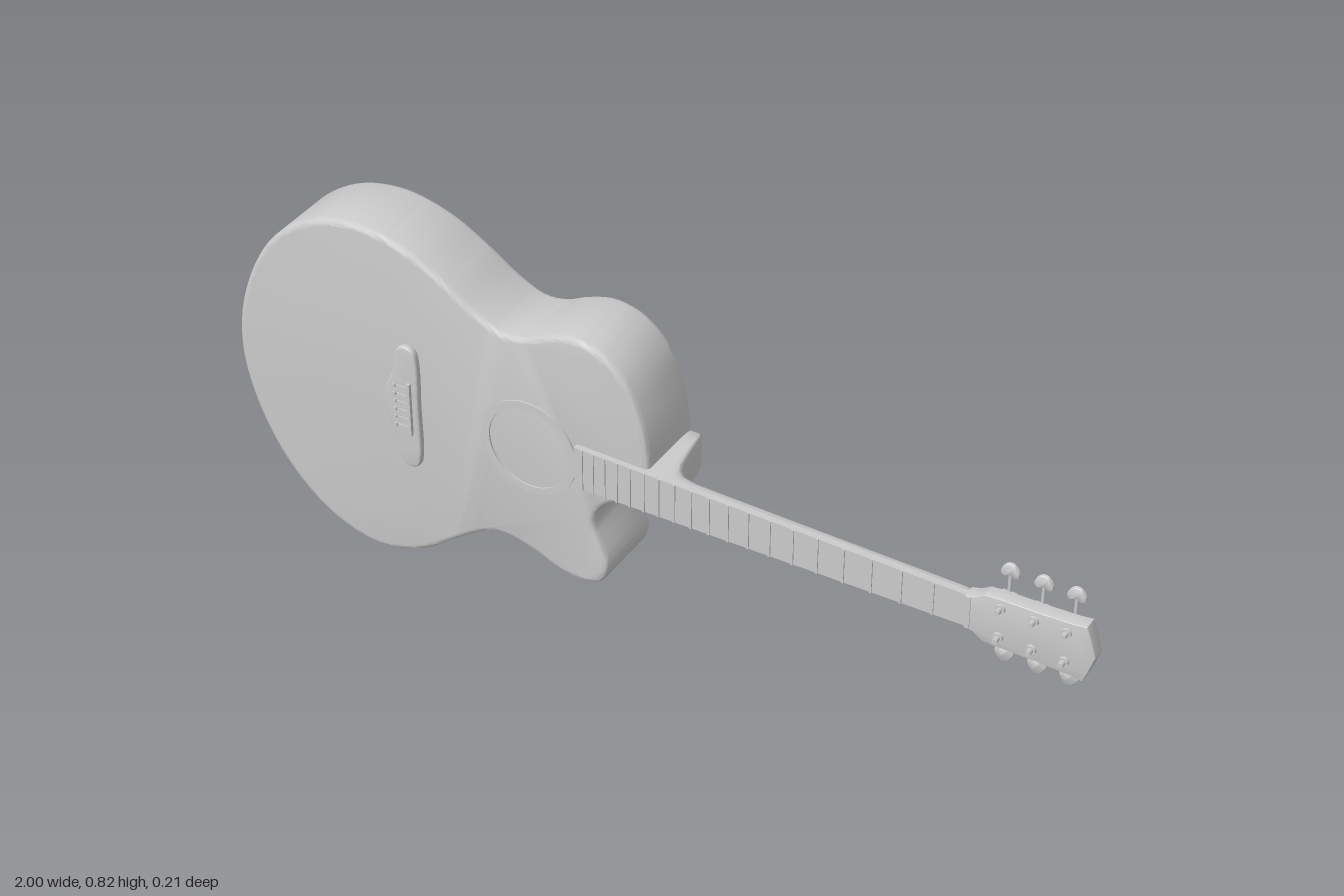
import * as THREE from 'three';
import { toCreasedNormals } from 'three/addons/utils/BufferGeometryUtils.js';

const material = new THREE.MeshStandardMaterial({ color: 0xcccccc });
const MID = 0.42; // height of the neck's centre line

function add(parent, name, geometry, x = 0, y = 0, z = 0) {
  const mesh = new THREE.Mesh(geometry, material);
  mesh.name = name;
  mesh.position.set(x, y, z);
  parent.add(mesh);
}

// Shape from a list of [x, y] corners
const polygon = points => new THREE.Shape(points.map(([x, y]) => new THREE.Vector2(x, y)));

// Shape made solid from z0 to z1, with rounded rims
function slab(shape, z0, z1, bevel = 0, crease = 0.6) {
  const geo = new THREE.ExtrudeGeometry(shape, {
    depth: z1 - z0 - 2 * bevel, curveSegments: 48,
    bevelEnabled: bevel > 0, bevelSize: bevel, bevelThickness: bevel, bevelOffset: -bevel, bevelSegments: 3,
  });
  geo.translate(0, 0, z0 + bevel);
  return toCreasedNormals(geo, crease);
}

// Shape bounded by a smooth closed curve through a few points
function smoothShape(points, count) {
  const curve = new THREE.CatmullRomCurve3(points.map(([x, y]) => new THREE.Vector3(x, y, 0)), true);
  return polygon(curve.getSpacedPoints(count).slice(0, -1).map(p => [p.x, p.y]));
}

// Half width of neck and fingerboard, tapering to the nut
const halfWidth = x => THREE.MathUtils.mapLinear(x, -0.155, 0.73, 0.05, 0.038);

// Neck and heel: sections [x, underside z, roundness] lofted along x
function neckGeometry() {
  const sections = [
    [-0.03, -0.102, 0.25], [0.034, -0.102, 0.25], [0.038, -0.095, 0.25], [0.044, -0.07, 0.3],
    [0.05, -0.035, 0.35], [0.056, 0, 0.42], [0.064, 0.022, 0.5], [0.078, 0.036, 0.6],
    [0.11, 0.041, 0.75], [0.3, 0.042, 0.8], [0.5, 0.043, 0.8], [0.7, 0.045, 0.8], [0.745, 0.056, 0.5],
  ];
  const n = 24, top = 0.076, positions = [], indices = [];
  for (const [x, low, round] of sections) {
    for (let i = 0; i <= n; i++) {
      const a = Math.PI * i / n, c = Math.cos(a), s = Math.max(0, Math.sin(a));
      positions.push(x, MID + halfWidth(x) * Math.sign(c) * Math.abs(c) ** round, top - (top - low) * s ** round);
    }
  }
  const row = n + 1, last = (sections.length - 1) * row;
  for (let k = 0; k < sections.length - 1; k++) {
    for (let i = 0; i < row; i++) {
      const a = k * row + i, b = k * row + (i + 1) % row;
      indices.push(a, a + row, b, b, a + row, b + row);
    }
  }
  for (let i = 1; i < n; i++) indices.push(0, i, i + 1, last, last + i + 1, last + i);
  const geo = new THREE.BufferGeometry();
  geo.setAttribute('position', new THREE.Float32BufferAttribute(positions, 3));
  geo.setIndex(indices);
  return toCreasedNormals(geo, 0.8);
}

export function createModel() {
  const guitar = new THREE.Group();
  guitar.name = 'acousticGuitar';

  // Body with a cutaway below the neck
  const bodyShape = smoothShape([
    [-1, 0.42], [-0.975, 0.28], [-0.9, 0.135], [-0.79, 0.035], [-0.67, 0], [-0.56, 0.03], [-0.44, 0.115],
    [-0.38, 0.152], [-0.33, 0.16], [-0.26, 0.143], [-0.21, 0.122], [-0.15, 0.114], [-0.105, 0.13],
    [-0.087, 0.175], [-0.102, 0.225], [-0.12, 0.275], [-0.112, 0.312], [-0.08, 0.345], [-0.035, 0.365],
    [0.002, 0.385], [0.011, 0.42], [0.01, 0.5], [-0.005, 0.58], [-0.045, 0.665], [-0.1, 0.71],
    [-0.165, 0.723], [-0.23, 0.705], [-0.28, 0.682], [-0.33, 0.676], [-0.39, 0.7], [-0.47, 0.752],
    [-0.56, 0.798], [-0.67, 0.819], [-0.79, 0.793], [-0.9, 0.708], [-0.975, 0.565],
  ], 180);
  add(guitar, 'body', slab(bodyShape, -0.102, 0.073, 0.012, 0.75));

  // Raised ring around the sound hole
  const ring = new THREE.Shape().absarc(0, 0, 0.113, 0, Math.PI * 2);
  ring.holes.push(new THREE.Path().absarc(0, 0, 0.096, 0, Math.PI * 2, true));
  add(guitar, 'soundHoleRing', slab(ring, 0.07, 0.077), -0.27, 0.417);

  // Bridge with saddle and string pins
  const bridge = new THREE.Group();
  bridge.name = 'bridge';
  guitar.add(bridge);
  const bridgeShape = smoothShape([
    [-0.562, 0.264], [-0.542, 0.272], [-0.535, 0.3], [-0.535, 0.42], [-0.535, 0.535], [-0.542, 0.562],
    [-0.562, 0.57], [-0.582, 0.56], [-0.588, 0.53], [-0.598, 0.49], [-0.614, 0.455], [-0.618, 0.417],
    [-0.614, 0.38], [-0.598, 0.345], [-0.588, 0.305], [-0.582, 0.274],
  ], 64);
  add(bridge, 'bridgePlate', slab(bridgeShape, 0.07, 0.087, 0.004));
  add(bridge, 'saddle', new THREE.BoxGeometry(0.008, 0.13, 0.012), -0.553, 0.417, 0.089);
  for (let i = 0; i < 6; i++) {
    const y = 0.417 + (i - 2.5) * 0.02;
    add(bridge, 'stringPin', new THREE.CylinderGeometry(0.005, 0.004, 0.012, 12).rotateX(Math.PI / 2), -0.59, y, 0.089);
    add(bridge, 'stringEnd', new THREE.BoxGeometry(0.036, 0.003, 0.003), -0.572, y, 0.088);
  }

  // Neck, fingerboard, frets and nut
  add(guitar, 'neck', neckGeometry());
  const [start, nut] = [-0.155, 0.73];
  add(guitar, 'fingerboard', slab(polygon([
    [start, MID - halfWidth(start)], [nut, MID - halfWidth(nut)],
    [nut, MID + halfWidth(nut)], [start, MID + halfWidth(start)],
  ]), 0.071, 0.086));
  for (let i = 1; i <= 19; i++) {
    const x = nut - 1.3 * (1 - 2 ** (-i / 12));
    add(guitar, 'fret', new THREE.BoxGeometry(0.005, halfWidth(x) * 2, 0.004), x, MID, 0.087);
  }
  add(guitar, 'nut', new THREE.BoxGeometry(0.01, 0.076, 0.018), nut + 0.003, MID, 0.082);

  // Headstock
  const half = [[0.725, 0.038], [0.745, 0.043], [0.765, 0.056], [0.79, 0.059], [0.88, 0.06], [0.95, 0.063], [0.978, 0.067]];
  const head = [...half.map(([x, h]) => [x, MID - h]), [0.988, MID - 0.04], [1, MID], [0.988, MID + 0.04],
    ...half.map(([x, h]) => [x, MID + h]).reverse()];
  add(guitar, 'headstock', slab(polygon(head), 0.057, 0.089, 0.002, 0.3));

  // Tuners: three on each side, mirrored about the neck line
  const knob = smoothShape([
    [0, 0.092], [0.01, 0.087], [0.02, 0.094], [0.017, 0.107], [0.009, 0.117],
    [0, 0.12], [-0.009, 0.117], [-0.017, 0.107], [-0.02, 0.094], [-0.01, 0.087],
  ], 32);
  const housing = polygon([[-0.015, 0.022], [0.015, 0.022], [0.015, 0.05], [-0.015, 0.05]]);
  for (const x of [0.8, 0.87, 0.938]) {
    for (const side of [1, -1]) {
      const tuner = new THREE.Group();
      tuner.name = side > 0 ? 'upperTuner' : 'lowerTuner';
      tuner.position.set(x, MID + 0.003, 0);
      if (side < 0) tuner.rotation.z = Math.PI;
      guitar.add(tuner);
      add(tuner, 'housing', slab(housing, 0.046, 0.06, 0.004, 0.9));
      add(tuner, 'stem', new THREE.CylinderGeometry(0.004, 0.004, 0.055, 12), 0, 0.067, 0.053);
      add(tuner, 'knob', slab(knob, 0.048, 0.058, 0.003, 0.9));
      add(tuner, 'washer', new THREE.CylinderGeometry(0.01, 0.011, 0.006, 16).rotateX(Math.PI / 2), 0, 0.035, 0.091);
      add(tuner, 'post', new THREE.CylinderGeometry(0.006, 0.006, 0.02, 16).rotateX(Math.PI / 2), 0, 0.035, 0.097);
    }
  }
  return guitar;
}
